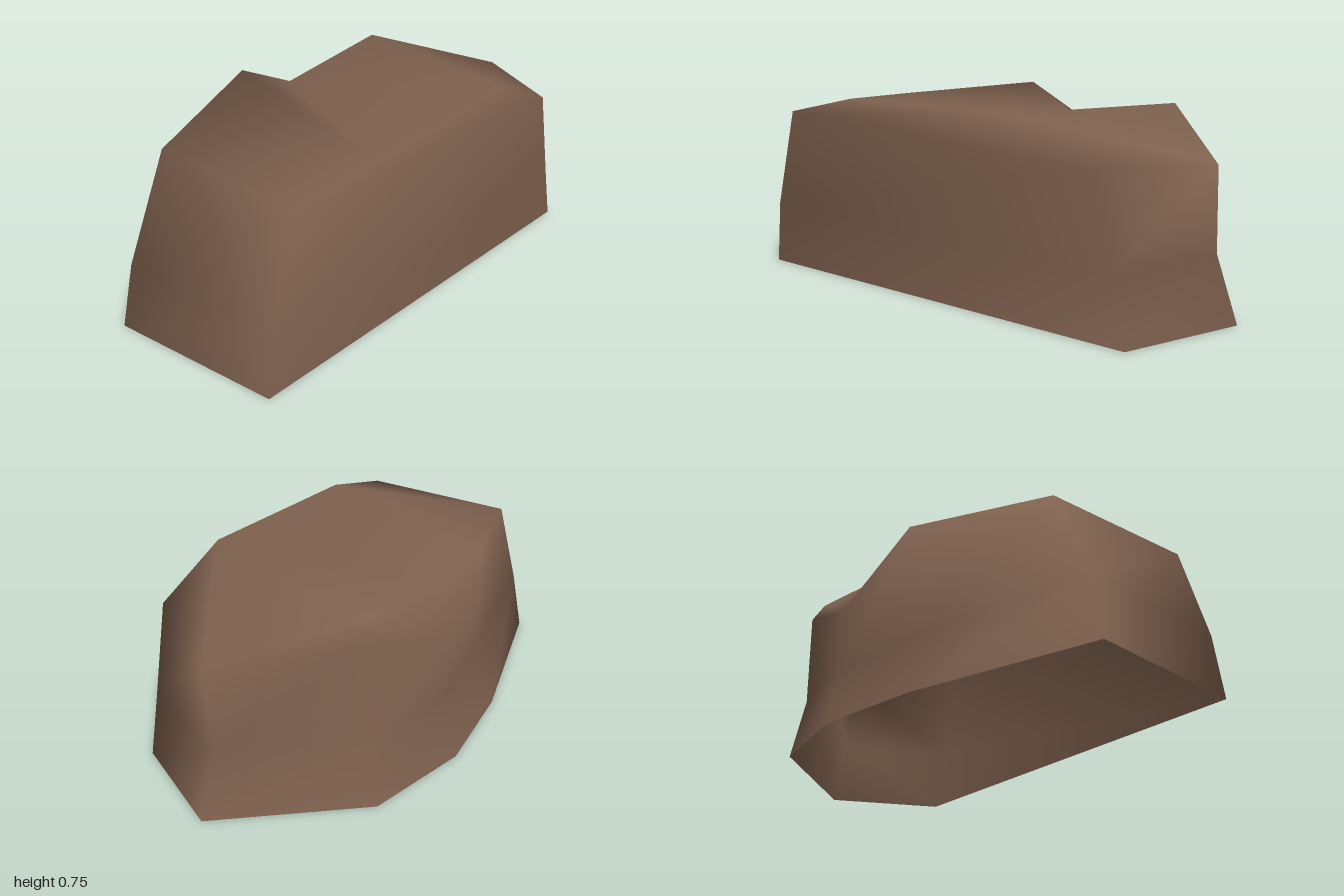
import * as THREE from 'three';

export function createModel() {
  const stone = new THREE.MeshStandardMaterial({ color: 0x80624f, side: THREE.DoubleSide });
  stone.name = 'brown stone';

  // Rings run from the front right-hand corner, along the front and round the back.
  const base = [[-0.92, 0, 0.495], [0.8, 0, 0.495], [1, 0, 0.05], [0.58, 0, -0.42],
    [0.15, 0, -0.5], [-0.28, 0, -0.43], [-1, 0, -0.2]];
  const waist = [[-0.89, 0.26, 0.495], [0.74, 0.25, 0.495], [0.91, 0.25, 0.05], [0.56, 0.25, -0.37],
    [0.2, 0.255, -0.435], [-0.25, 0.26, -0.355], [-0.96, 0.26, -0.17]];
  const shoulder = [[-0.78, 0.66, 0.495], [0.66, 0.6, 0.495], [0.91, 0.575, 0.07], [0.56, 0.64, -0.37],
    [0.19, 0.51, -0.435], [-0.2, 0.735, -0.385], [-0.78, 0.66, -0.17]];
  // Crown points: two on the front edge, two along the back.
  const crown = [[-0.44, 0.74, 0.495], [0.34, 0.745, 0.495], [0.53, 0.71, -0.33], [0.02, 0.635, -0.34]];

  const n = base.length;
  const index = [];
  // Side walls, open underneath
  for (let ring = 0; ring < 2; ring++) {
    for (let i = 0; i < n; i++) {
      const a = ring * n + i, b = ring * n + (i + 1) % n;
      index.push(a, b, b + n, a, b + n, a + n);
    }
  }

  // Uneven top with a notch at the back
  const [fl, fr, right, backL, notch, back, backR] = shoulder.map((_, i) => 2 * n + i);
  const [c0, c1, c2, c3] = crown.map((_, i) => 3 * n + i);
  const top = [
    [fl, fr, c1], [fl, c1, c0], [fr, right, c1], [right, c2, c1],
    [right, backL, c2], [backL, notch, c2], [notch, c3, c2], [notch, back, c3],
    [c1, c2, c3], [c0, c1, c3], [c0, c3, back], [c0, back, backR], [fl, c0, backR],
  ];
  index.push(...top.flat());

  const geometry = new THREE.BufferGeometry();
  const points = [...base, ...waist, ...shoulder, ...crown].flat();
  geometry.setAttribute('position', new THREE.Float32BufferAttribute(points, 3));
  geometry.setIndex(index);
  geometry.computeVertexNormals();

  const rock = new THREE.Mesh(geometry, stone);
  rock.name = 'rock';
  const group = new THREE.Group();
  group.name = 'boulder';
  group.add(rock);
  return group;
}
